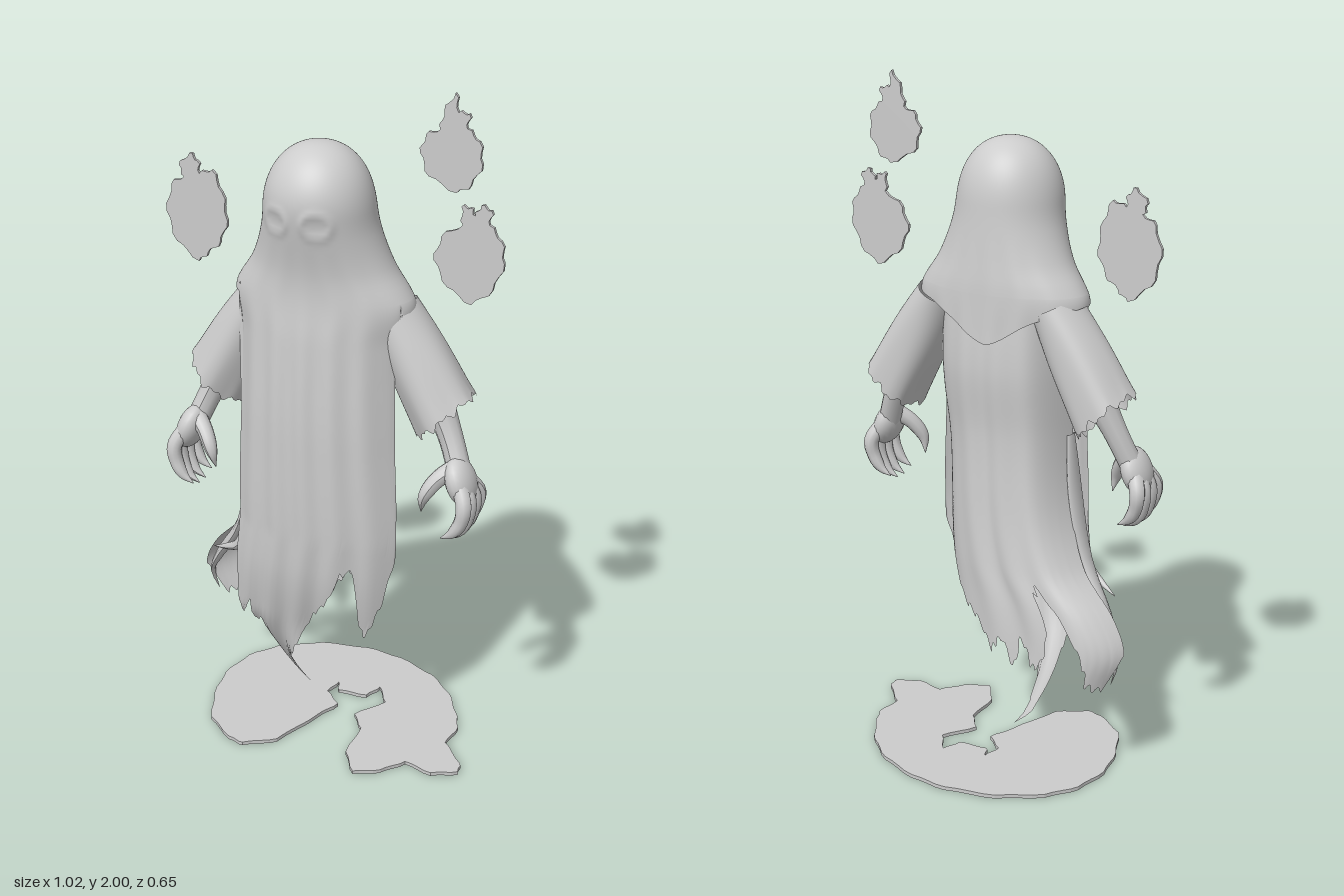
import * as THREE from 'three';
import { mergeVertices } from 'three/addons/utils/BufferGeometryUtils.js';

// Piecewise interpolation through [x, y] pairs, x ascending: smooth or straight
function curve(pts, smooth = true) {
  const n = pts.length;
  const slope = i => {
    const a = pts[Math.max(i - 1, 0)], b = pts[Math.min(i + 1, n - 1)];
    return (b[1] - a[1]) / (b[0] - a[0]);
  };
  return x => {
    if (x <= pts[0][0]) return pts[0][1];
    if (x >= pts[n - 1][0]) return pts[n - 1][1];
    let i = 0;
    while (x > pts[i + 1][0]) i++;
    const [x0, y0] = pts[i], [x1, y1] = pts[i + 1], h = x1 - x0, t = (x - x0) / h;
    if (!smooth) return y0 + (y1 - y0) * t;
    const t2 = t * t, t3 = t2 * t;
    return (2 * t3 - 3 * t2 + 1) * y0 + (t3 - 2 * t2 + t) * h * slope(i)
      + (3 * t2 - 2 * t3) * y1 + (t3 - t2) * h * slope(i + 1);
  };
}

// Smooth surface from a rule (u, v) -> [x, y, z]
function surface(nu, nv, rule) {
  const pos = [], idx = [];
  for (let j = 0; j <= nv; j++)
    for (let i = 0; i <= nu; i++) pos.push(...rule(i / nu, j / nv));
  for (let j = 0; j < nv; j++)
    for (let i = 0; i < nu; i++) {
      const a = j * (nu + 1) + i, b = a + nu + 1;
      idx.push(a, b, a + 1, a + 1, b, b + 1);
    }
  let geo = new THREE.BufferGeometry();
  geo.setAttribute('position', new THREE.Float32BufferAttribute(pos, 3));
  geo.setIndex(idx);
  geo = mergeVertices(geo, 1e-5);
  geo.computeVertexNormals();
  return geo;
}

// Tube whose radius follows a list of values along its path
function taperTube(points, radii, flat = 1) {
  const path = new THREE.CatmullRomCurve3(points.map(p => new THREE.Vector3(...p)));
  const n = 18, geo = new THREE.TubeGeometry(path, n, 1, 10);
  const r = curve(radii.map((v, i) => [i / (radii.length - 1), v]));
  const p = geo.attributes.position, v = new THREE.Vector3();
  for (let i = 0; i < p.count; i++) {
    const t = Math.floor(i / 11) / n, c = path.getPointAt(t);
    v.fromBufferAttribute(p, i).sub(c).multiplyScalar(r(t));
    v.x *= flat;
    v.add(c);
    p.setXYZ(i, v.x, v.y, v.z);
  }
  geo.computeVertexNormals();
  return geo;
}

// Flat plate with small nicks along its edge
function plate(points, depth, nick) {
  const edge = [];
  points.forEach((a, i) => {
    const b = points[(i + 1) % points.length];
    for (let k = 0; k < 4; k++) {
      const t = k / 4, o = k % 2 ? nick * (k === 1 ? 1 : -0.6) : 0;
      const dx = b[0] - a[0], dy = b[1] - a[1], l = Math.hypot(dx, dy);
      edge.push(new THREE.Vector2(a[0] + dx * t - dy / l * o, a[1] + dy * t + dx / l * o));
    }
  });
  return new THREE.ExtrudeGeometry(new THREE.Shape(edge), { depth, bevelEnabled: false });
}

export function createModel() {
  const model = new THREE.Group();
  const cloth = new THREE.MeshStandardMaterial({ color: 0xcccccc, side: THREE.DoubleSide });
  cloth.name = 'pale grey';
  const add = (name, geo, parent = model) => {
    const m = new THREE.Mesh(geo, cloth);
    m.name = name;
    parent.add(m);
    return m;
  };
  const { smoothstep, clamp } = THREE.MathUtils;

  // Hood with the long front drape: closed sections, hem height set by direction
  const halfW = curve([[0.05, 0.25], [0.45, 0.28], [0.7, 0.285], [1, 0.265], [1.3, 0.255], [1.38, 0.268], [1.42, 0.26],
    [1.5, 0.207], [1.6, 0.168], [1.68, 0.155], [1.84, 0.145]]);
  const halfD = curve([[0.05, 0.02], [0.2, 0.05], [0.4, 0.11], [0.6, 0.16], [1, 0.175], [1.3, 0.16],
    [1.42, 0.145], [1.5, 0.14], [1.68, 0.147], [1.84, 0.14]]);
  const midZ = curve([[0.05, 0], [0.12, 0], [0.2, 0.03], [0.3, 0.065], [0.4, 0.08], [0.6, 0.075], [1.3, 0.07],
    [1.42, 0.072], [1.5, 0.08], [1.68, 0.105], [1.84, 0.105]]);
  const bend = curve([[0.07, -0.02], [0.12, -0.065], [0.2, -0.085], [0.3, -0.08], [0.45, -0.045], [0.7, 0]]);
  const frontHem = curve([[-0.87, 1.4], [-0.85, 0.9], [-0.78, 0.55], [-0.7, 0.4], [-0.62, 0.35], [-0.55, 0.43],
    [-0.48, 0.33], [-0.4, 0.36], [-0.32, 0.28], [-0.18, 0.07], [-0.05, 0.2], [0.1, 0.3], [0.22, 0.43],
    [0.36, 0.5], [0.44, 0.6], [0.54, 0.62], [0.62, 0.41], [0.7, 0.38], [0.82, 0.5], [0.9, 0.66], [0.92, 0.95],
    [0.94, 1.4]], false);
  const backHem = curve([[-1, 1.39], [-0.6, 1.35], [-0.1, 1.28], [0.3, 1.33], [0.6, 1.37], [1, 1.39]]);
  add('hoodAndFrontDrape', surface(220, 100, (u, v) => {
    const th = u * Math.PI * 2 + Math.PI, s = Math.sin(th), c = Math.cos(th);
    const hem = c > 0 ? Math.min(1.39, frontHem(s) + 0.012 * Math.sin(s * 90)) : backHem(s);
    const y = v < 0.45 ? 1.84 - 0.42 * (v / 0.45) ** 2 : 1.42 + (hem - 1.42) * (v - 0.45) / 0.55;
    const dome = y > 1.66 ? Math.max(0, 1 - ((y - 1.66) / 0.18) ** 2.3) ** 0.46 : 1;
    const fold = clamp((1.58 - y) / 0.4, 0, 1) * (c > 0 ? 0.005 : 0.004);
    const depth = halfD(y) * (c < 0 ? 1 - 0.1 * smoothstep(1.5 - y, 0, 0.2) : 1);
    const x = halfW(y) * dome * s;
    let z = midZ(y) + depth * dome * c + fold * Math.sin(s * 19 + y) * Math.abs(c);
    // Twisted lower tail
    z += 0.22 * (s + 0.18) * (1 - smoothstep(y, 0.18, 0.4));
    // Faint raised eye rims
    if (c > 0.3) {
      const d = Math.hypot((Math.abs(x + 0.01) - 0.062) / 1.15, y - 1.645);
      z += 0.004 * Math.exp(-(((d - 0.034) / 0.009) ** 2)) - 0.003 * Math.exp(-((d / 0.022) ** 2));
    }
    const sway = bend(y) * (1 - 0.6 * smoothstep(s, 0.3, 0.6));
    return [x - 0.008 + sway, y, z];
  }));

  // Back robe sweeping towards one side in a curled tail
  const left = curve([[0.29, -0.42], [0.4, -0.455], [0.5, -0.41], [0.62, -0.3], [0.8, -0.235], [1.1, -0.215], [1.45, -0.2]]);
  const right = curve([[0.3, 0.05], [0.5, 0.11], [0.7, 0.15], [0.95, 0.18], [1.1, 0.2], [1.45, 0.21]]);
  const backZ = curve([[0.3, -0.095], [0.5, -0.085], [0.8, -0.06], [1, -0.05], [1.2, -0.06], [1.45, -0.035]]);
  const robeHem = curve([[0, 0.4], [0.04, 0.29], [0.12, 0.31], [0.2, 0.42], [0.27, 0.58], [0.32, 0.56], [0.36, 0.44],
    [0.42, 0.35], [0.47, 0.34], [0.54, 0.42], [0.6, 0.32], [0.66, 0.41], [0.75, 0.36], [0.82, 0.44],
    [0.9, 0.48], [0.95, 0.56], [1, 0.7]], false);
  add('backRobe', surface(120, 60, (u, v) => {
    const hem = robeHem(u) + 0.012 * Math.sin(u * 140);
    const y = 1.45 + (hem - 1.45) * v, e = Math.abs(2 * u - 1);
    const wrap = (u < 0.5 ? 0.09 : 0.07) + 0.07 * smoothstep(y, 0.3, 1.1);
    const x = left(y) + (right(y) - left(y)) * u;
    return [x, y, backZ(y) + wrap * e ** (u < 0.5 ? 5 : 3) + 0.006 * Math.sin(u * 24 + y * 2) * (1 - e)];
  }));

  // Loose strips between the front drape and the curled tail
  add('sideStrip', taperTube([[-0.215, 1.0, 0.1], [-0.235, 0.8, 0.1], [-0.285, 0.62, 0.08], [-0.38, 0.48, 0.04],
    [-0.435, 0.38, 0.0], [-0.425, 0.31, -0.02]], [0.02, 0.035, 0.035, 0.03, 0.022, 0.001], 0.35));
  add('looseStrand', taperTube([[-0.2, 0.85, 0.14], [-0.215, 0.7, 0.145], [-0.26, 0.585, 0.14],
    [-0.32, 0.55, 0.12], [-0.37, 0.53, 0.1]], [0.012, 0.02, 0.02, 0.014, 0.001]));

  // Sleeves, arms and clawed hands
  for (const side of [1, -1]) {
    const arm = new THREE.Group();
    arm.name = side > 0 ? 'leftArm' : 'rightArm';
    arm.scale.x = side;
    model.add(arm);
    add('sleeve', surface(72, 20, (u, v) => {
      const a = u * Math.PI * 2, flare = v ** 4;
      const rag = flare * (0.007 * Math.sin(a * 9) + 0.007 * Math.sin(a * 17) - 0.03 * Math.cos(a));
      const r = 0.066 + 0.02 * v + 0.012 * flare + 0.012 * Math.sin(v * Math.PI), p = Math.cos(a) * r;
      const wave = 1 + 0.04 * v * Math.sin(a * 5);
      const t = v + rag * 2.8;
      return [0.19 + 0.165 * t + 0.894 * p * wave, 1.38 - 0.29 * t + 0.447 * p * wave,
        0.055 + Math.sin(a) * (0.09 + 0.012 * v) * wave];
    }), arm);
    add('forearm', taperTube([[0.27, 1.27, 0.05], [0.33, 1.13, 0.06], [0.378, 1.03, 0.075], [0.42, 0.93, 0.1]],
      [0.055, 0.048, 0.036, 0.034]), arm);
    const palm = add('palm', new THREE.SphereGeometry(1, 20, 14), arm);
    palm.scale.set(0.04, 0.072, 0.062);
    palm.position.set(0.425, 0.925, 0.11);
    palm.rotation.z = 0.35;
    for (let i = 0; i < 4; i++) {
      const z = 0.055 + i * 0.037, drop = i === 1 || i === 2 ? 0.015 : 0;
      add('finger', taperTube([[0.43, 0.93, 0.085 + i * 0.018], [0.456, 0.875, z], [0.448, 0.825 - drop, z + 0.003],
        [0.425, 0.79 - drop, z + 0.006], [0.392, 0.77 - drop, z + 0.008]], [0.023, 0.023, 0.021, 0.017, 0.001]), arm);
    }
    add('thumb', taperTube([[0.41, 0.965, 0.11], [0.365, 0.93, 0.14], [0.335, 0.88, 0.16], [0.325, 0.83, 0.155]],
      [0.028, 0.024, 0.019, 0.001]), arm);
  }

  // Floating flat wisps
  const wisps = [
    [[-0.41, 1.425], [-0.48, 1.475], [-0.51, 1.56], [-0.49, 1.645], [-0.45, 1.67], [-0.465, 1.7], [-0.43, 1.74],
      [-0.405, 1.72], [-0.4, 1.685], [-0.36, 1.7], [-0.33, 1.64], [-0.315, 1.56], [-0.34, 1.49], [-0.38, 1.455]],
    [[0.42, 1.43], [0.35, 1.47], [0.31, 1.54], [0.33, 1.61], [0.39, 1.65], [0.385, 1.7], [0.41, 1.7], [0.425, 1.68],
      [0.44, 1.71], [0.47, 1.7], [0.465, 1.66], [0.5, 1.62], [0.51, 1.56], [0.48, 1.48]],
    [[0.37, 1.735], [0.29, 1.77], [0.265, 1.83], [0.28, 1.88], [0.32, 1.9], [0.33, 1.95], [0.36, 2], [0.37, 1.95],
      [0.4, 1.95], [0.395, 1.91], [0.43, 1.88], [0.44, 1.82], [0.41, 1.76]],
  ];
  wisps.forEach(w => { add('wisp', plate(w, 0.01, 0.006)).position.z = 0.056; });

  // Ground plate with a torn notch, given as [x, -z]
  const ground = [[-0.4, 0], [-0.38, 0.12], [-0.32, 0.21], [-0.2, 0.29], [-0.05, 0.325], [0.07, 0.315], [0.2, 0.265],
    [0.29, 0.19], [0.35, 0.1], [0.385, 0.03], [0.38, -0.06], [0.46, -0.14], [0.47, -0.18], [0.4, -0.22], [0.31, -0.2],
    [0.26, -0.27], [0.19, -0.31], [0.13, -0.23], [0.12, -0.1], [0.07, -0.04], [0.13, 0.06], [0.08, 0.13], [0.06, 0.07],
    [-0.03, 0.06], [-0.05, 0.1], [-0.06, 0.04], [0, -0.01], [-0.03, -0.09], [-0.085, -0.26], [-0.17, -0.32],
    [-0.22, -0.31], [-0.32, -0.24], [-0.375, -0.12]];
  const floor = add('groundPlate', plate(ground, 0.011, 0.003));
  floor.rotation.x = -Math.PI / 2;
  floor.position.y = 0.004;

  return model;
}
